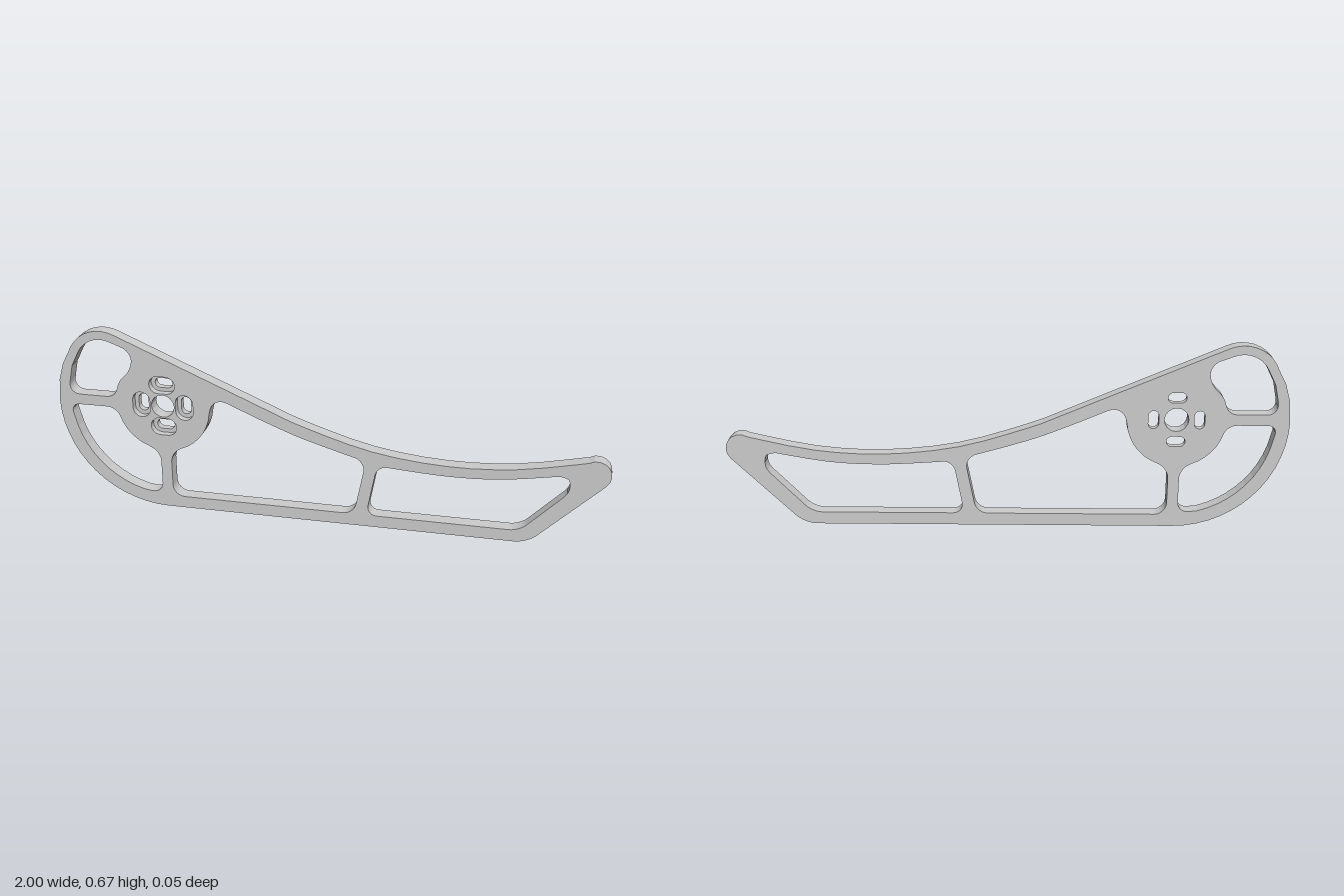
import * as THREE from 'three';

const HALF = 0.026;              // half the plate thickness
const HUB = [-0.602, 0.405];     // hub centre
const rad = THREE.MathUtils.degToRad;

// Points along an arc, angles in degrees
function arc([cx, cy], r, a0, a1, n) {
  return Array.from({ length: n + 1 }, (_, i) => {
    const a = rad(a0 + (a1 - a0) * i / n);
    return [cx + r * Math.cos(a), cy + r * Math.sin(a)];
  });
}

// Points along a smooth curve through a few guides
function curve(guides, n) {
  const c = new THREE.SplineCurve(guides.map(p => new THREE.Vector2(...p)));
  return c.getPoints(n).map(p => [p.x, p.y]);
}

// Closed path from [x, y, setback]; a setback rounds that corner
function rounded(points, Type = THREE.Path) {
  const path = new Type();
  const v = points.map(p => new THREE.Vector2(p[0], p[1]));
  const n = v.length;
  points.forEach(([, , setback = 0], i) => {
    const c = v[i];
    const toward = q => c.clone().lerp(q, Math.min(1, setback / c.distanceTo(q)));
    const a = toward(v[(i + n - 1) % n]), b = toward(v[(i + 1) % n]);
    if (i === 0) path.moveTo(a.x, a.y);
    else path.lineTo(a.x, a.y);
    if (setback === 0) return;
    const h1 = a.clone().lerp(c, 0.55), h2 = b.clone().lerp(c, 0.55);
    path.bezierCurveTo(h1.x, h1.y, h2.x, h2.y, b.x, b.y);
  });
  path.closePath();
  return path;
}

// Stadium-shaped slot
function slot(x, y, length, width, upright, Type = THREE.Path) {
  const r = width / 2, d = length / 2 - r, s = upright ? 90 : 0;
  const dx = upright ? 0 : d, dy = upright ? d : 0;
  return rounded([
    ...arc([x + dx, y + dy], r, s - 90, s + 90, 10),
    ...arc([x - dx, y - dy], r, s + 90, s + 270, 10),
  ], Type);
}

function extrude(shape, z, depth) {
  const g = new THREE.ExtrudeGeometry(shape, { depth, bevelEnabled: false, curveSegments: 6 });
  return g.translate(0, 0, z);
}

export function createModel() {
  const model = new THREE.Group();
  model.name = 'sidePlate';
  const material = new THREE.MeshStandardMaterial({ color: 0xcccccc });

  // Outer outline, listed from the bottom of the big round end over the top
  // and reversed to run counter-clockwise, so the hole walls face inwards
  const outline = rounded([
    ...arc([-0.6, 0.4], 0.4, 270, 180, 14),
    [-0.993, 0.478], [-0.975, 0.54],
    ...arc([-0.825, 0.543], 0.132, 160, 65, 9),
    ...curve([[-0.31, 0.467], [-0.2, 0.42], [-0.08, 0.372], [0.17, 0.299], [0.435, 0.27], [0.68, 0.283], [0.92, 0.332]], 18),
    ...arc([0.947, 0.287], 0.053, 100, -45, 7),
    [0.73, 0, 0.045],
  ].reverse(), THREE.Shape);

  // Window above the left spoke
  const upperWindow = [
    [-0.963, 0.425, 0.045], [-0.783, 0.425, 0.03], [-0.765, 0.487, 0.02],
    [-0.712, 0.54, 0.033], [-0.712, 0.607, 0.033],
    ...arc([-0.825, 0.545], 0.098, 65, 155, 7),
    [-0.94, 0.535],
  ];

  // Window between the left and lower spokes
  const lowerWindow = [
    [-0.959, 0.385, 0.035], [-0.78, 0.385, 0.035],
    ...arc(HUB, 0.175, 197, 250, 6),
    [-0.62, 0.22, 0.035], [-0.62, 0.052, 0.04],
    ...arc([-0.6, 0.4], 0.352, 255, 191, 10),
  ];

  // Long middle window
  const middleWindow = [
    [-0.58, 0.045, 0.045], [0.105, 0.045, 0.04], [0.147, 0.261, 0.045],
    ...curve([[0.095, 0.273], [-0.09, 0.328], [-0.23, 0.382], [-0.345, 0.431]], 10),
    [-0.41, 0.457, 0.05],
    ...arc(HUB, 0.175, -4, -70, 7),
    [-0.58, 0.22, 0.035],
  ];

  // Window towards the tip
  const tipWindow = [
    [0.15, 0.045, 0.04], [0.7, 0.045, 0.035], [0.885, 0.235, 0.055],
    [0.845, 0.278, 0.035],
    ...curve([[0.8, 0.267], [0.62, 0.238], [0.435, 0.231], [0.235, 0.242]], 10),
    [0.188, 0.248, 0.04],
  ];

  for (const w of [upperWindow, lowerWindow, middleWindow, tipWindow]) outline.holes.push(rounded(w));
  outline.holes.push(rounded(arc(HUB, 0.043, 0, 337.5, 15)));

  // Four slots round the hub: wide in front, with a narrower ledge behind
  for (let i = 0; i < 4; i++) {
    const a = i * Math.PI / 2, upright = i % 2 === 0;
    const x = HUB[0] + 0.081 * Math.cos(a), y = HUB[1] + 0.081 * Math.sin(a);
    outline.holes.push(slot(x, y, 0.097, 0.066, upright));
    const ledge = slot(x, y, 0.097, 0.066, upright, THREE.Shape);
    ledge.holes.push(slot(x, y, 0.066, 0.037, upright));
    const mesh = new THREE.Mesh(extrude(ledge, -HALF, HALF), material);
    mesh.name = 'slotLedge' + (i + 1);
    model.add(mesh);
  }

  const plate = new THREE.Mesh(extrude(outline, -HALF, 2 * HALF), material);
  plate.name = 'plate';
  model.add(plate);
  return model;
}
